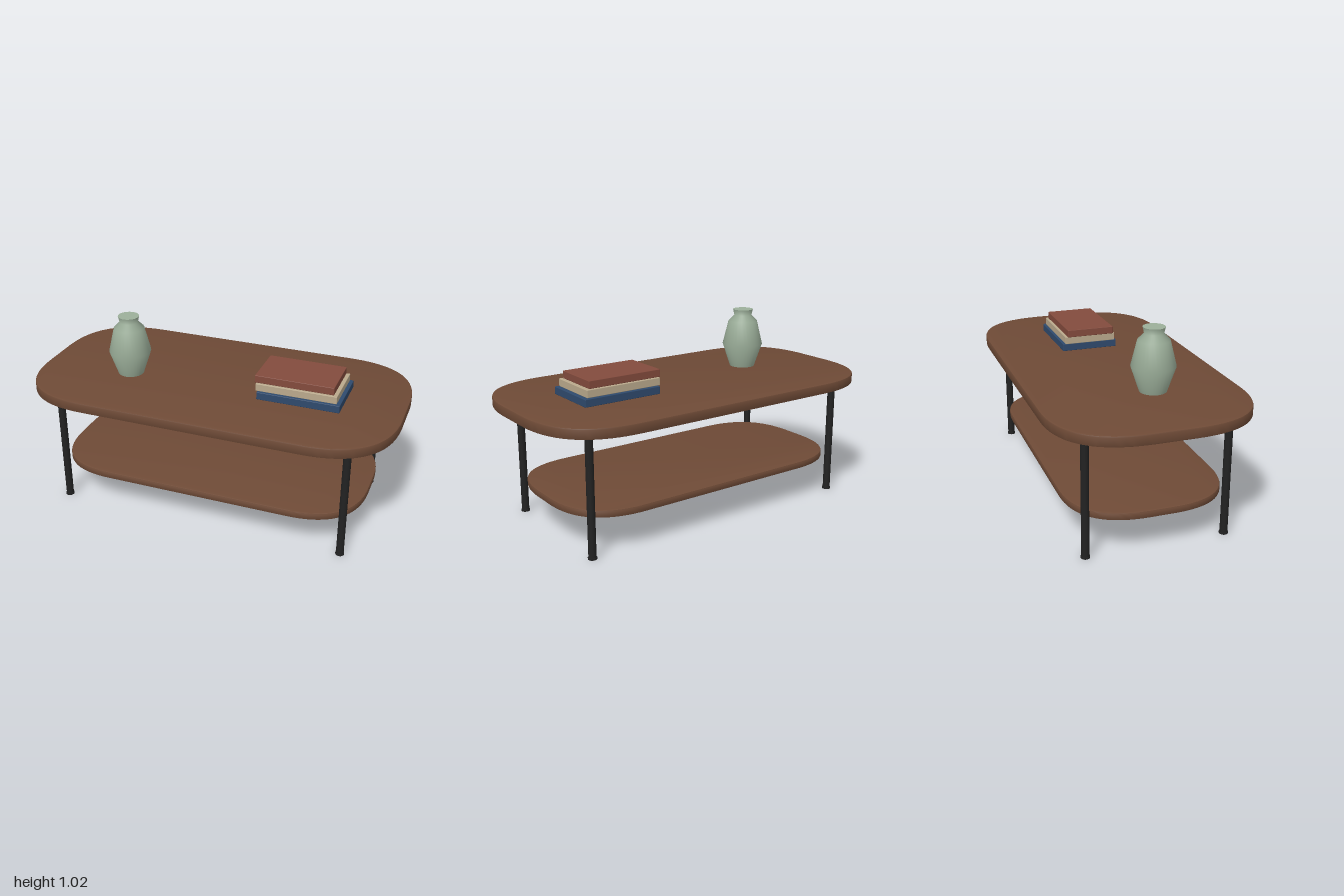
import * as THREE from 'three';
import { RoundedBoxGeometry } from 'three/addons/geometries/RoundedBoxGeometry.js';
import { toCreasedNormals } from 'three/addons/utils/BufferGeometryUtils.js';

const material = (name, color) => {
  const m = new THREE.MeshStandardMaterial({ color });
  m.name = name;
  return m;
};

export function createModel() {
  const wood = material('walnut wood', 0x6e4a36);
  const metal = material('black metal', 0x222222);
  const glaze = material('sage glaze', 0x9caf9a);
  const navy = material('navy cover', 0x2f4a6d);
  const tan = material('tan cover', 0xbaa98c);
  const rust = material('rust cover', 0x834b3d);

  const model = new THREE.Group();
  model.name = 'coffeeTable';

  const add = (parent, name, geometry, mat, x = 0, y = 0, z = 0) => {
    const mesh = new THREE.Mesh(geometry, mat);
    mesh.name = name;
    mesh.position.set(x, y, z);
    parent.add(mesh);
    return mesh;
  };

  // Horizontal board with softly curved corners and a small edge bevel
  const board = (hx, hz, corner, thickness) => {
    const b = 0.007;
    const x = hx - b, z = hz - b, r = corner;
    const s = new THREE.Shape();
    s.moveTo(-x + r, -z);
    s.lineTo(x - r, -z);
    s.quadraticCurveTo(x, -z, x, -z + r);
    s.lineTo(x, z - r);
    s.quadraticCurveTo(x, z, x - r, z);
    s.lineTo(-x + r, z);
    s.quadraticCurveTo(-x, z, -x, z - r);
    s.lineTo(-x, -z + r);
    s.quadraticCurveTo(-x, -z, -x + r, -z);
    const g = new THREE.ExtrudeGeometry(s, {
      depth: thickness - 2 * b, bevelEnabled: true, bevelSize: b,
      bevelThickness: b, bevelSegments: 2, curveSegments: 24,
    });
    g.translate(0, 0, b);
    g.rotateX(-Math.PI / 2);
    return toCreasedNormals(g, 0.6);
  };

  add(model, 'tableTop', board(1, 0.52, 0.41, 0.055), wood, 0, 0.64, 0);
  add(model, 'lowerShelf', board(0.857, 0.414, 0.345, 0.039), wood, 0, 0.195, 0);

  // Four slim legs with small foot pads
  const legGeometry = new THREE.CylinderGeometry(0.02, 0.02, 0.64, 24);
  const footGeometry = new THREE.CylinderGeometry(0.023, 0.023, 0.009, 24);
  for (const sx of [-1, 1]) {
    for (const sz of [-1, 1]) {
      const leg = new THREE.Group();
      leg.name = (sz > 0 ? 'front' : 'back') + (sx > 0 ? 'Left' : 'Right') + 'Leg';
      leg.position.set(sx * 0.789, 0, sz * 0.364);
      add(leg, 'legPole', legGeometry, metal, 0, 0.322, 0);
      add(leg, 'footPad', footGeometry, metal, 0, 0.0045, 0);
      model.add(leg);
    }
  }

  // Vase with a flared neck and closed top
  const vase = new THREE.Group();
  vase.name = 'vase';
  vase.position.set(-0.5, 0.695, 0.083);
  const profile = [[0.07, 0], [0.114, 0.131], [0.082, 0.263], [0.049, 0.297], [0.057, 0.33]]
    .map(([r, y]) => new THREE.Vector2(r, y));
  add(vase, 'vaseBody', new THREE.LatheGeometry(profile, 32), glaze);
  add(vase, 'vaseTop', new THREE.CircleGeometry(0.057, 32), glaze, 0, 0.33, 0).rotation.x = -Math.PI / 2;
  add(vase, 'vaseBase', new THREE.CircleGeometry(0.07, 32), glaze, 0, 0.001, 0).rotation.x = Math.PI / 2;
  model.add(vase);

  // Stack of three books: name, cover, width, depth, centre x, centre y
  const books = new THREE.Group();
  books.name = 'bookStack';
  for (const [name, cover, w, d, x, y] of [
    ['bottomBook', navy, 0.44, 0.314, 0.468, 0.715],
    ['middleBook', tan, 0.43, 0.289, 0.454, 0.757],
    ['topBook', rust, 0.42, 0.265, 0.44, 0.798],
  ]) {
    add(books, name, new RoundedBoxGeometry(w, 0.041, d, 2, 0.003), cover, x, y, -0.005);
  }
  model.add(books);

  return model;
}
